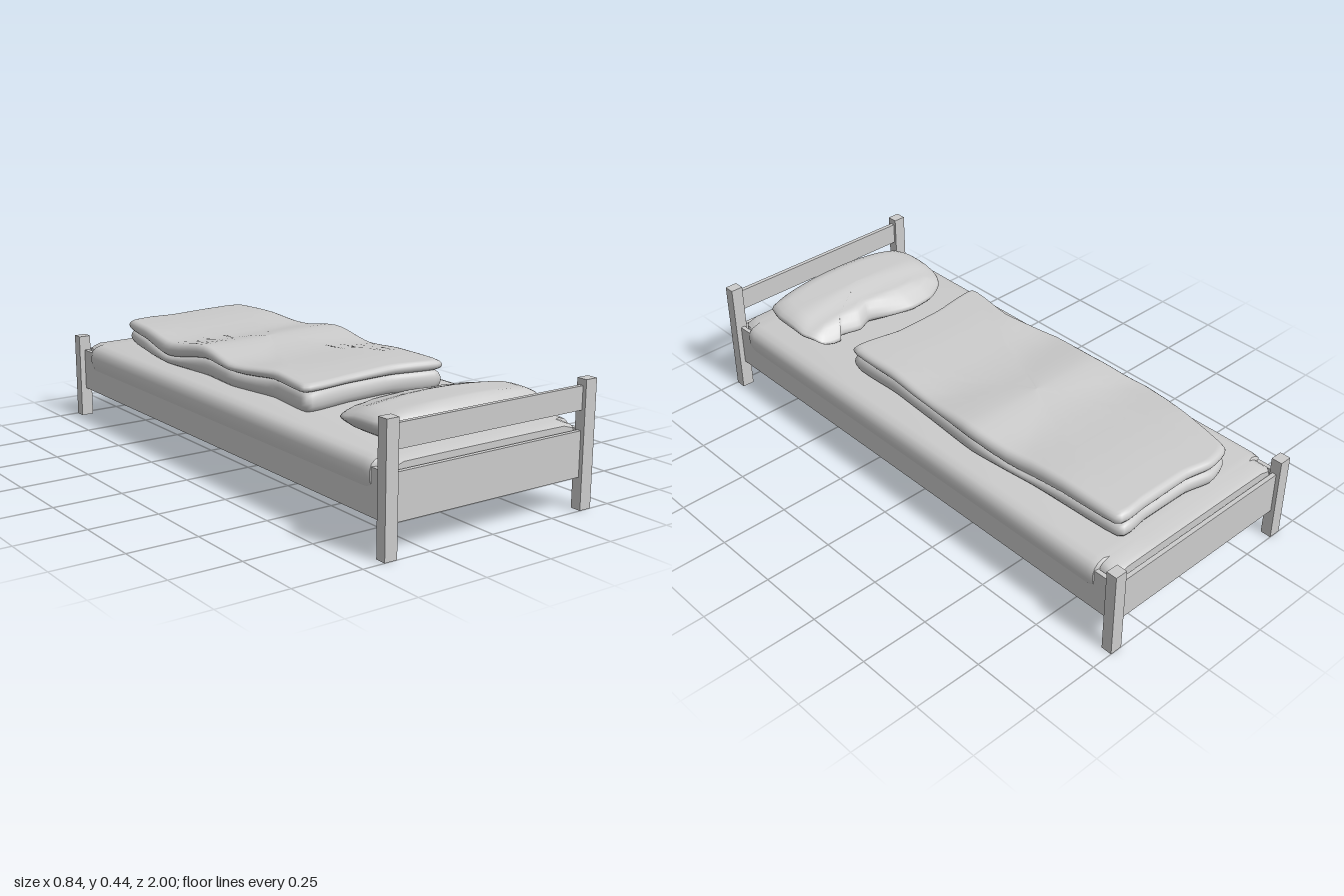
import * as THREE from 'three';
import { toCreasedNormals } from 'three/addons/utils/BufferGeometryUtils.js';

const material = new THREE.MeshStandardMaterial({ color: 0xcccccc });

function addMesh(parent, name, geometry) {
  const mesh = new THREE.Mesh(geometry, material);
  mesh.name = name;
  parent.add(mesh);
  return mesh;
}

// Box given by its limits on each axis
function addBox(parent, name, [x0, x1], [y0, y1], [z0, z1]) {
  const box = addMesh(parent, name, new THREE.BoxGeometry(x1 - x0, y1 - y0, z1 - z0));
  box.position.set((x0 + x1) / 2, (y0 + y1) / 2, (z0 + z1) / 2);
}

// Skin over closed rings that all have the same number of points
function loft(rings) {
  const n = rings[0].length, index = [];
  for (let i = 0; i < rings.length - 1; i++) {
    for (let j = 0; j < n; j++) {
      const a = i * n + j, b = i * n + (j + 1) % n;
      index.push(a, b, b + n, a, b + n, a + n);
    }
  }
  const geometry = new THREE.BufferGeometry();
  geometry.setAttribute('position', new THREE.Float32BufferAttribute(rings.flat(2), 3));
  geometry.setIndex(index);
  geometry.computeVertexNormals();
  return geometry;
}

// Soft slab: a wavy outline [x, z] with a rounded rim between a bottom and a top height
function cushion(outline, rim, bottom, top) {
  const curve = new THREE.CatmullRomCurve3(
    outline.map(([x, z]) => new THREE.Vector3(x, 0, z)), true, 'catmullrom', 0.25);
  const points = curve.getPoints(outline.length * 5).slice(0, -1);
  const box = new THREE.Box3().setFromPoints(points);
  const c = box.getCenter(new THREE.Vector3()), size = box.getSize(new THREE.Vector3());
  const ring = (inset, shrink, t) => points.map((p) => {
    const x = c.x + (p.x - c.x) * (1 - 2 * inset / size.x) * shrink;
    const z = c.z + (p.z - c.z) * (1 - 2 * inset / size.z) * shrink;
    return [x, THREE.MathUtils.lerp(bottom(x, z), top(x, z), t), z];
  });
  const rings = [0.001, 0.35, 0.7].map((s) => ring(rim, s, 0));
  for (let k = 0; k <= 8; k++) {
    const a = (k / 8 - 0.5) * Math.PI;
    rings.push(ring(rim * (1 - Math.cos(a)), 1, 0.5 + 0.5 * Math.sin(a)));
  }
  for (const s of [0.85, 0.7, 0.5, 0.3, 0.15, 0.001]) rings.push(ring(rim, s, 1));
  return loft(rings);
}

// Piecewise linear height along z, from [z, y] pairs in rising z
function ramp(pairs) {
  return (z) => {
    if (z <= pairs[0][0]) return pairs[0][1];
    for (let i = 1; i < pairs.length; i++) {
      const [z0, y0] = pairs[i - 1], [z1, y1] = pairs[i];
      if (z <= z1) return THREE.MathUtils.lerp(y0, y1, THREE.MathUtils.smoothstep(z, z0, z1));
    }
    return pairs[pairs.length - 1][1];
  };
}

function buildFrame() {
  const frame = new THREE.Group();
  frame.name = 'frame';
  for (const side of [-1, 1]) {
    const post = [side * 0.398 - 0.023, side * 0.398 + 0.023];
    addBox(frame, 'headPost', post, [0, 0.435], [0.96, 1]);
    addBox(frame, 'footPost', post, [0, 0.32], [-1, -0.96]);
    addBox(frame, 'sideRail', [side * 0.392 - 0.008, side * 0.392 + 0.008], [0.11, 0.265], [-0.97, 0.97]);
    addBox(frame, side > 0 ? 'headPanel' : 'footPanel', [-0.38, 0.38], [0.11, 0.265],
      [side * 0.978 - 0.008, side * 0.978 + 0.008]);
  }
  addBox(frame, 'headRail', [-0.38, 0.38], [0.333, 0.413], [0.97, 0.986]);
  return frame;
}

// Mattress whose sheet swells out over the side rails between the tucked ends
function buildMattress() {
  const section = (z, w, t, scale = 1) => {
    const half = [[w - 0.008, 0.2], [w, 0.225], [w, 0.25], [w - 0.006, 0.272],
      [w - 0.02, t - 0.008], [w - 0.045, t], [w * 0.5, t + 0.001]];
    const all = [...half, ...half.map(([x, y]) => [-x, y]).reverse()];
    return all.map(([x, y]) => [x * scale, 0.24 + (y - 0.24) * scale, z]);
  };
  const rings = [
    section(-0.962, 0.37, 0.283, 0.001), section(-0.962, 0.37, 0.283), section(-0.945, 0.384, 0.289),
    section(-0.898, 0.385, 0.291), section(-0.892, 0.405, 0.292), section(-0.87, 0.41, 0.294),
    section(0, 0.41, 0.296),
    section(0.87, 0.41, 0.294), section(0.902, 0.405, 0.292), section(0.908, 0.385, 0.291),
    section(0.945, 0.384, 0.289), section(0.962, 0.37, 0.283), section(0.962, 0.37, 0.283, 0.001),
  ];
  return toCreasedNormals(loft(rings), 0.7);
}

export function createModel() {
  const bed = new THREE.Group();
  bed.name = 'bed';
  bed.add(buildFrame());
  addMesh(bed, 'mattress', buildMattress());

  // Pillow
  const pillowOutline = [[-0.29, 0.6], [-0.32, 0.66], [-0.322, 0.8], [-0.295, 0.87], [-0.22, 0.9], [-0.1, 0.918],
    [0.1, 0.916], [0.24, 0.9], [0.31, 0.87], [0.33, 0.8], [0.33, 0.66], [0.295, 0.585], [0.22, 0.572],
    [0.2, 0.593], [0.12, 0.577], [0.06, 0.597], [-0.02, 0.575], [-0.12, 0.555], [-0.22, 0.567]];
  const pillowTop = ramp([[0.56, 0.345], [0.63, 0.385], [0.74, 0.409], [0.85, 0.411], [0.92, 0.395]]);
  addMesh(bed, 'pillow', cushion(pillowOutline, 0.06,
    (x) => 0.294 + 0.03 * THREE.MathUtils.smoothstep(Math.abs(x), 0.24, 0.33),
    (x, z) => pillowTop(z) - 0.25 * x * x));

  // Folded blanket: two layers lying on each other
  const blanketOutline = [[-0.25, -0.86], [-0.295, -0.65], [-0.325, -0.45], [-0.298, -0.22], [-0.315, -0.02],
    [-0.275, 0.2], [-0.298, 0.415], [-0.1, 0.395], [0.1, 0.385], [0.285, 0.41], [0.292, 0.2], [0.3, 0],
    [0.322, -0.24], [0.29, -0.5], [0.278, -0.86], [0.15, -0.872], [-0.05, -0.87], [-0.15, -0.887]];
  const fold = ramp([[-0.88, 0.346], [-0.68, 0.345], [-0.45, 0.328], [-0.2, 0.357], [0.05, 0.352], [0.2, 0.36], [0.4, 0.362]]);
  const blanketTop = ramp([[-0.88, 0.39], [-0.65, 0.396], [-0.42, 0.385], [-0.23, 0.406], [0, 0.384], [0.2, 0.397], [0.42, 0.396]]);
  const lowerOutline = blanketOutline.map(([x, z], i) => [x * (i % 2 ? 0.985 : 0.97), z - 0.004 * (i % 3)]);
  addMesh(bed, 'blanketLowerLayer', cushion(lowerOutline, 0.024, () => 0.294, (x, z) => fold(z) + 0.002));
  addMesh(bed, 'blanketUpperLayer', cushion(blanketOutline, 0.024, (x, z) => fold(z),
    (x, z) => blanketTop(z) + 0.004 * Math.sin(9 * x)));
  return bed;
}
